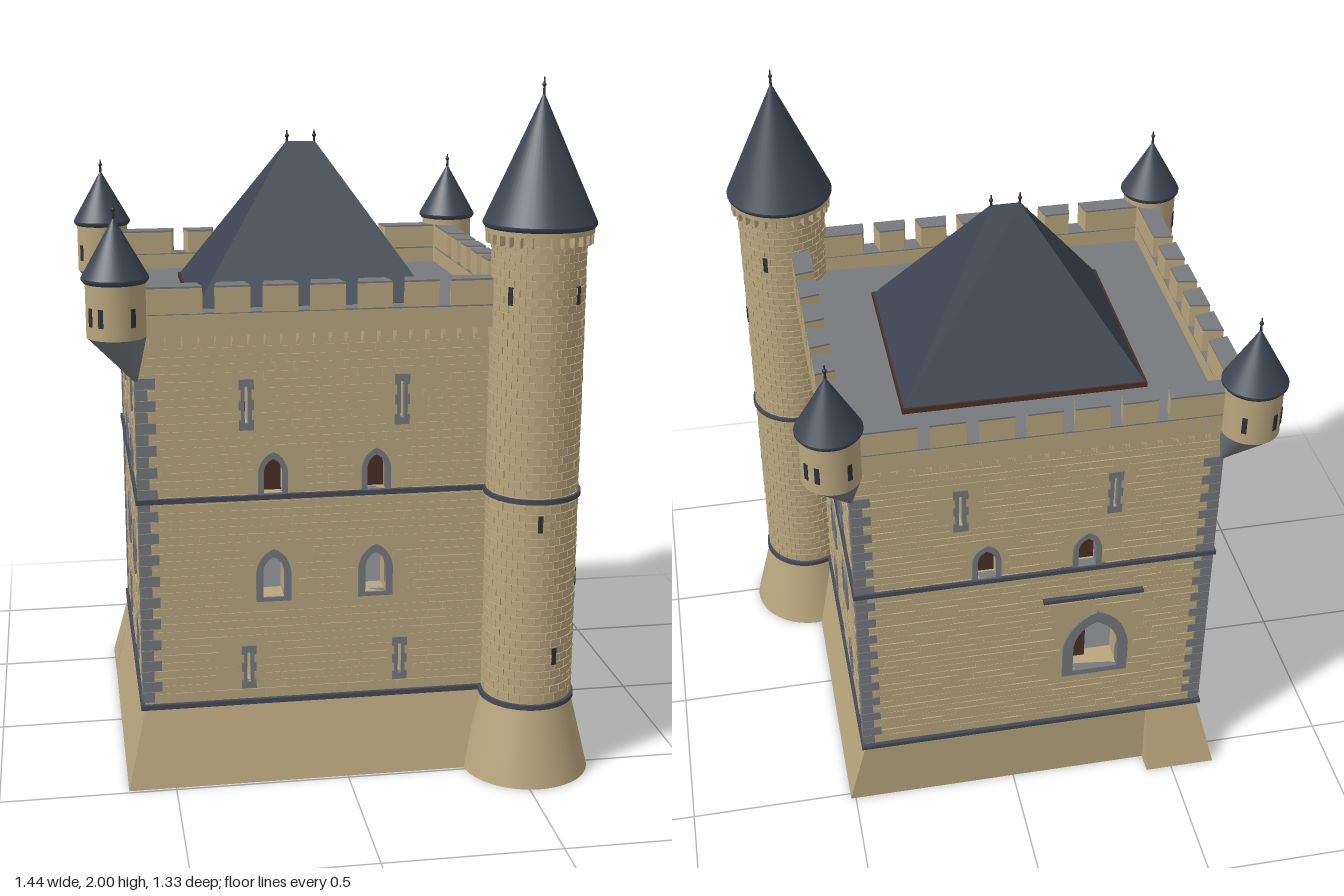
import * as THREE from 'three';
import { mergeGeometries } from 'three/addons/utils/BufferGeometryUtils.js';

const mat = (color) => new THREE.MeshStandardMaterial({ color });
const STONE = mat(0xb9a67e), GREY = mat(0x77797d), SLATE = mat(0x3d4451), BAND = mat(0x454a55),
  WOOD = mat(0x4a3026), DARK = mat(0x2e3138);

// Keep: centre, half sizes, wall thickness, parapet overhang
const CX = -0.06, CZ = -0.045, HX = 0.52, HZ = 0.475, T = 0.08, OVER = 0.057;
const TX = 0.53, TZ = 0.475, TR = 0.13; // great tower

let seed = 7;
const rand = () => (seed = (seed * 16807) % 2147483647) / 2147483647;

function add(parent, name, geo, material, x = 0, y = 0, z = 0) {
  const m = new THREE.Mesh(geo, material);
  m.name = name;
  m.position.set(x, y, z);
  parent.add(m);
  return m;
}
const block = (w, h, d, x, y, z) => new THREE.BoxGeometry(w, h, d).translate(x, y, z);

// Box whose bottom and top rectangles [x0, x1, z0, z1] differ
function taper(bottom, top, y0, y1) {
  const g = new THREE.BoxGeometry(1, 1, 1), p = g.attributes.position;
  for (let i = 0; i < p.count; i++) {
    const up = p.getY(i) > 0, r = up ? top : bottom;
    p.setXYZ(i, p.getX(i) < 0 ? r[0] : r[1], up ? y1 : y0, p.getZ(i) < 0 ? r[2] : r[3]);
  }
  g.computeVertexNormals();
  return g;
}

// Pointed arch outline, half width w
function arch(Kind, x, w, y0, y1) {
  const s = new Kind(), ys = y1 - 1.35 * w;
  s.moveTo(x - w, y0).lineTo(x + w, y0).lineTo(x + w, ys);
  s.quadraticCurveTo(x + w * 0.85, y1 - w * 0.35, x, y1);
  s.quadraticCurveTo(x - w * 0.85, y1 - w * 0.35, x - w, ys);
  s.closePath();
  return s;
}

function slot(x, w, y0, y1) {
  return new THREE.Path([[-w, y0], [w, y0], [w, y1], [-w, y1]].map(([a, b]) => new THREE.Vector2(x + a, b)));
}

// Toothed stone surround for an arrow slit
function toothed(x, y0, y1) {
  const right = [], n = 5, h = (y1 - y0) / n;
  for (let i = 0; i < n; i++) {
    const w = i % 2 ? 0.015 : 0.021;
    right.push([w, y0 + i * h], [w, y0 + (i + 1) * h]);
  }
  const left = right.map(([a, b]) => [-a, b]).reverse();
  return new THREE.Shape([...right, ...left].map(([a, b]) => new THREE.Vector2(x + a, b)));
}

const extrude = (shape, depth, z) =>
  new THREE.ExtrudeGeometry(shape, { depth, bevelEnabled: false, curveSegments: 8 }).translate(0, 0, z);

// One side of the keep, drawn facing +z: half length hl, distance hd from the centre
function buildSide(name, hl, hd, angle, winX, slitX, gaps, isBack) {
  const side = new THREE.Group();
  side.name = name;
  side.position.set(CX, 0, CZ);
  side.rotation.y = angle;

  const wall = new THREE.Shape([[-hl, 0.2], [hl, 0.2], [hl, 1.33], [-hl, 1.33]].map((p) => new THREE.Vector2(...p)));
  const avoid = [];
  const opening = (label, x, w, y0, y1, rim, filled) => {
    wall.holes.push(arch(THREE.Path, x, w, y0, y1));
    const frame = arch(THREE.Shape, x, w + rim, y0 - rim * 0.6, y1 + rim * 1.2);
    frame.holes.push(arch(THREE.Path, x, w, y0, y1));
    add(side, label + 'Surround', extrude(frame, 0.03, hd - 0.023), GREY);
    if (filled) add(side, label + 'Shutter', extrude(arch(THREE.Shape, x, w, y0, y1), 0.01, hd - 0.04), WOOD);
    avoid.push([x - w - rim, x + w + rim, y0 - rim, y1 + rim]);
  };
  const slit = (x, y0, y1) => {
    wall.holes.push(slot(x, 0.005, y0 + 0.02, y1 - 0.02));
    const frame = toothed(x, y0, y1);
    frame.holes.push(slot(x, 0.005, y0 + 0.02, y1 - 0.02));
    add(side, 'arrowSlit', extrude(frame, 0.02, hd - 0.014), GREY);
    avoid.push([x - 0.02, x + 0.02, y0, y1]);
  };
  for (const s of [-1, 1]) {
    opening('upperWindow', s * winX, 0.026, 0.855, 0.955, 0.016, true);
    slit(s * slitX, 1.04, 1.185);
    if (!isBack) {
      opening('lowerWindow', s * winX, 0.03, 0.545, 0.665, 0.02, false);
      slit(s * slitX, 0.27, 0.4);
    }
  }
  if (isBack) { // entrance with half-open leaf and a drip bar above
    opening('entrance', 0.185, 0.068, 0.435, 0.625, 0.032, false);
    add(side, 'doorLeaf', new THREE.BoxGeometry(0.05, 0.14, 0.01), WOOD, 0.142, 0.505, hd - 0.06);
    add(side, 'dripBar', new THREE.BoxGeometry(0.3, 0.012, 0.02), BAND, 0.17, 0.735, hd + 0.006);
  }
  add(side, 'wall', extrude(wall, T, hd - T), STONE);

  // Masonry courses, kept clear of the openings
  const stones = [];
  for (let y = 0.245; y < 1.27; y += 0.0235) {
    for (let x = -hl + 0.01 * rand(); x < hl - 0.03;) {
      const l = Math.min(0.04 + 0.05 * rand(), hl - x), d = 0.001 + 0.003 * rand();
      const hit = avoid.some((a) => x + l > a[0] && x < a[1] && y + 0.022 > a[2] && y < a[3]);
      if (!hit) stones.push(block(l - 0.002, 0.0215, d, x + l / 2, y + 0.011, hd + d / 2));
      x += l;
    }
  }
  add(side, 'masonry', mergeGeometries(stones), STONE);

  for (const y of [0.23, 0.845])
    add(side, 'stringCourse', new THREE.BoxGeometry(2 * hl + 0.024, 0.014, 0.03), BAND, 0, y, hd - 0.003);

  // Stepped corbels carrying the parapet
  const corbels = [], n = Math.round((2 * hl) / 0.045);
  for (let i = 0; i <= n; i++) {
    const x = -hl + (i * 2 * hl) / n;
    corbels.push(block(0.024, 0.022, OVER, x, 1.314, hd + OVER / 2), block(0.024, 0.018, 0.03, x, 1.294, hd + 0.015));
  }
  add(side, 'corbels', mergeGeometries(corbels), STONE);

  // Parapet with merlons between splayed gaps
  const L = hl + OVER;
  add(side, 'parapet', new THREE.BoxGeometry(2 * L, 0.06, OVER), STONE, 0, 1.352, hd + OVER / 2);
  add(side, 'parapetSill', new THREE.BoxGeometry(2 * L, 0.004, OVER), GREY, 0, 1.384, hd + OVER / 2);
  const pitch = 0.13, bodies = [], caps = [];
  const centre = (i) => (i - (gaps - 1) / 2) * pitch;
  for (let i = 0; i <= gaps; i++) {
    const a = i === 0 ? -L : centre(i - 1), b = i === gaps ? L : centre(i);
    const cut = (out) => [i ? a + out : a, i < gaps ? b - out : b];
    const [ao, bo] = cut(0.016), [ai, bi] = cut(0.027);
    const plan = new THREE.Shape([[ao, -hd - OVER], [bo, -hd - OVER], [bi, -hd], [ai, -hd]].map((p) => new THREE.Vector2(...p)));
    bodies.push(extrude(plan, 0.07, 0).rotateX(-Math.PI / 2).translate(0, 1.384, 0));
    caps.push(extrude(plan, 0.005, 0).rotateX(-Math.PI / 2).translate(0, 1.454, 0));
  }
  add(side, 'merlons', mergeGeometries(bodies), STONE);
  add(side, 'merlonCaps', mergeGeometries(caps), GREY);
  return side;
}

function finial(parent, x, y, z, h) {
  add(parent, 'finial', new THREE.CylinderGeometry(0.002, 0.004, h, 8), DARK, x, y + h / 2, z);
  add(parent, 'finialKnob', new THREE.SphereGeometry(0.006, 10, 8), DARK, x, y + h * 0.6, z);
}

// Conical roof with a thin eave
function spire(parent, r, y0, y1) {
  const pts = [[0, y0 - 0.008], [r - 0.006, y0 - 0.008], [r, y0], [r, y0 + 0.006], [0.001, y1]];
  const cone = new THREE.LatheGeometry(pts.slice(0, 4).map((p) => new THREE.Vector2(...p)), 48);
  add(parent, 'eave', cone, SLATE);
  add(parent, 'spire', new THREE.ConeGeometry(r, y1 - y0 - 0.006, 48), SLATE, 0, (y0 + y1 + 0.006) / 2, 0);
}

function radialSlit(parent, r, deg, y, h) {
  const a = THREE.MathUtils.degToRad(deg);
  const m = add(parent, 'slit', new THREE.BoxGeometry(0.014, h, 0.01), DARK, r * Math.sin(a), y, r * Math.cos(a));
  m.rotation.y = a;
}

// Corner turret; its corbel leans back to the wall corner
function buildTurret(sx, sz) {
  const g = new THREE.Group();
  g.name = 'cornerTurret';
  g.position.set(CX + sx * 0.572, 0, CZ + sz * 0.532);
  const corbel = new THREE.CylinderGeometry(0.08, 0.002, 0.145, 40), p = corbel.attributes.position;
  for (let i = 0; i < p.count; i++) {
    const t = 0.5 - p.getY(i) / 0.145;
    p.setX(i, p.getX(i) - sx * 0.052 * t);
    p.setZ(i, p.getZ(i) - sz * 0.057 * t);
  }
  corbel.computeVertexNormals();
  add(g, 'turretCorbel', corbel, GREY, 0, 1.2575, 0);
  add(g, 'turretDrum', new THREE.CylinderGeometry(0.08, 0.08, 0.16, 40), STONE, 0, 1.41, 0);
  for (let i = 0; i < 4; i++) for (const d of [-32, 32])
    if (Math.sin((i * Math.PI) / 2) * sx + Math.cos((i * Math.PI) / 2) * sz > 0) radialSlit(g, 0.077, i * 90 + d, 1.39, 0.05);
  spire(g, 0.09, 1.485, 1.65);
  finial(g, 0, 1.645, 0, 0.04);
  return g;
}

function buildTower() {
  const g = new THREE.Group();
  g.name = 'greatTower';
  g.position.set(TX, 0, TZ);
  add(g, 'towerBase', new THREE.CylinderGeometry(TR, 0.185, 0.225, 56), STONE, 0, 0.1125, 0);
  add(g, 'towerShaft', new THREE.CylinderGeometry(TR - 0.002, TR - 0.002, 1.39, 56), STONE, 0, 0.905, 0);
  for (const y of [0.23, 0.845]) add(g, 'towerBand', new THREE.CylinderGeometry(0.138, 0.138, 0.014, 56), BAND, 0, y, 0);
  const stones = [], n = 24;
  for (let y = 0.245, row = 0; y < 1.54; y += 0.0235, row++) for (let i = 0; i < n; i++) {
    const d = 0.003 + 0.002 * rand();
    stones.push(block(0.0325, 0.0215, d, 0, y + 0.011, TR - 0.0035 + d / 2).rotateY(((i + (row % 2) / 2) * 2 * Math.PI) / n));
  }
  add(g, 'towerMasonry', mergeGeometries(stones), STONE);
  const corbels = [];
  for (let i = 0; i < 28; i++)
    corbels.push(block(0.014, 0.03, 0.03, 0, 1.57, 0.133).rotateY((i * Math.PI) / 14));
  add(g, 'towerCorbels', mergeGeometries(corbels), STONE);
  add(g, 'towerRim', new THREE.CylinderGeometry(0.15, 0.15, 0.016, 56), STONE, 0, 1.592, 0);
  for (const [deg, y] of [[41, 1.42], [97, 1.19], [-4, 0.78], [70, 0.59], [20, 0.38], [150, 1.42], [-50, 1.42]])
    radialSlit(g, TR - 0.002, deg, y, 0.05);
  spire(g, 0.157, 1.606, 1.96);
  finial(g, 0, 1.95, 0, 0.05);
  return g;
}

export function createModel() {
  const model = new THREE.Group();
  model.name = 'castleKeep';

  // Battered plinth: upright at the back apart from one corner buttress
  const x0 = CX - HX, x1 = CX + HX, z0 = CZ - HZ, z1 = CZ + HZ;
  add(model, 'plinth', taper([x0 - 0.055, x1 + 0.055, z0, z1 + 0.06], [x0, x1, z0, z1], 0, 0.225), STONE);
  add(model, 'plinthButtress', taper([x0 - 0.056, -0.42, z0 - 0.06, -0.4], [x0 - 0.001, -0.42, z0 - 0.002, -0.4], 0, 0.224), STONE);

  // Walls
  model.add(buildSide('frontSide', HX, HZ, 0, 0.147, 0.22, 6, false));
  model.add(buildSide('backSide', HX, HZ, Math.PI, 0.147, 0.22, 6, true));
  model.add(buildSide('leftSide', HZ, HX, Math.PI / 2, 0.1425, 0.195, 5, false));
  model.add(buildSide('rightSide', HZ, HX, -Math.PI / 2, 0.1425, 0.195, 5, false));
  add(model, 'innerFloor', new THREE.BoxGeometry(2 * HX - T, 0.02, 2 * HZ - T), GREY, CX, 0.42, CZ);
  add(model, 'roofDeck', new THREE.BoxGeometry(2 * HX + 0.01, 0.02, 2 * HZ + 0.01), GREY, CX, 1.326, CZ);

  // Corner quoins, long and short in turn
  for (const [sx, sz] of [[-1, -1], [-1, 1], [1, -1]]) {
    const q = [];
    for (let i = 0; i < 30; i++) {
      const a = i % 2 ? 0.056 : 0.034, b = i % 2 ? 0.034 : 0.056;
      q.push(block(a, 0.03, b, sx * (HX + 0.006 - a / 2), 0.26 + i * 0.0318, sz * (HZ + 0.006 - b / 2)));
    }
    add(model, 'quoins', mergeGeometries(q), GREY, CX, 0, CZ);
    model.add(buildTurret(sx, sz));
  }
  model.add(buildTower());

  // Hipped main roof
  add(model, 'roofCurb', new THREE.BoxGeometry(0.695, 0.02, 0.61), WOOD, -0.0575, 1.342, CZ);
  add(model, 'mainRoof', taper([-0.4, 0.285, CZ - 0.3, CZ + 0.3], [-0.1, -0.015, CZ - 0.003, CZ + 0.003], 1.35, 1.787), SLATE);
  for (const x of [-0.098, -0.017]) finial(model, x, 1.78, CZ, 0.04);
  return model;
}
